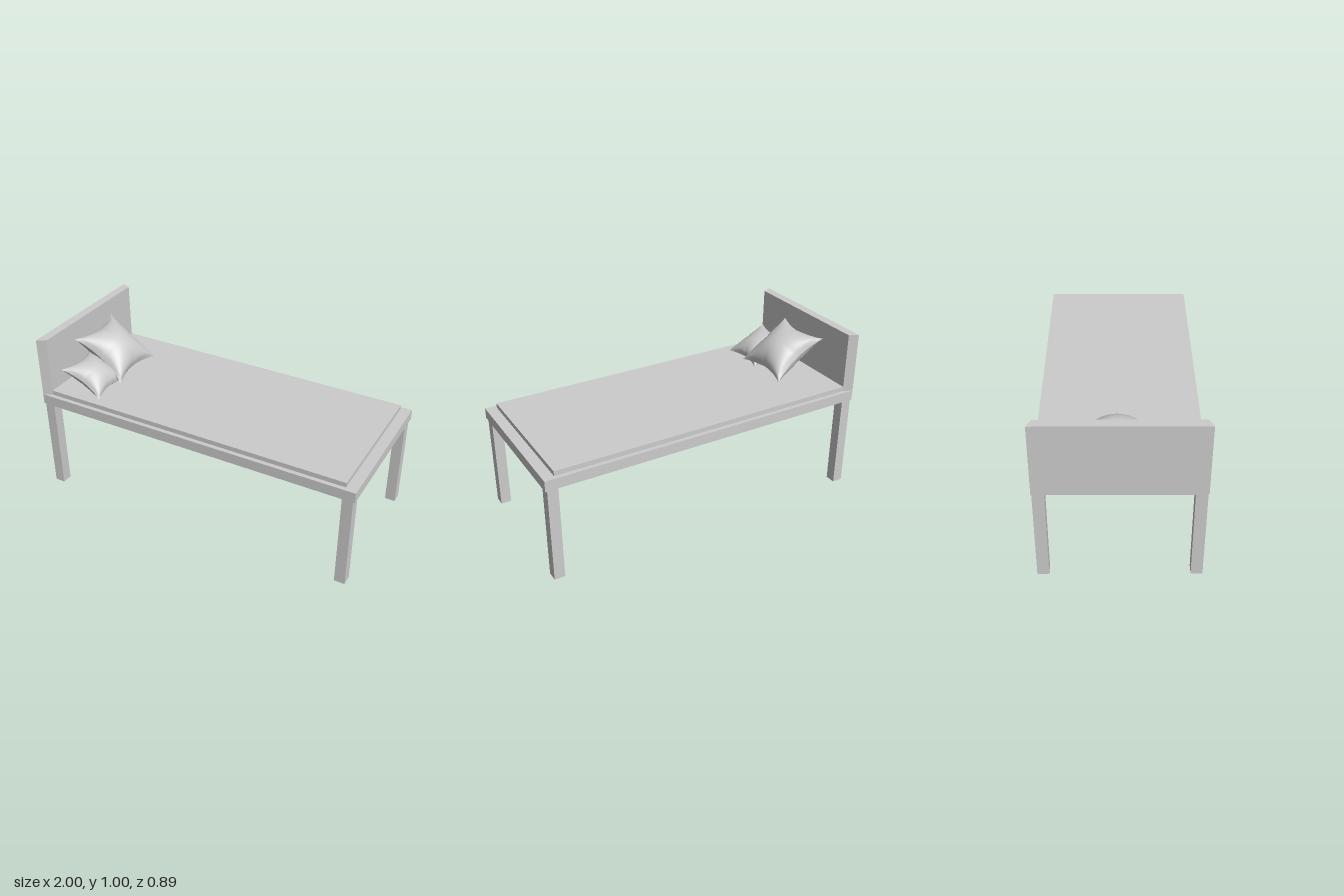
import * as THREE from 'three';
import { mergeGeometries, mergeVertices } from 'three/addons/utils/BufferGeometryUtils.js';

const grey = new THREE.MeshStandardMaterial({ color: 0xcccccc });

export function createModel() {
  const model = new THREE.Group();
  model.name = 'bed';

  const add = (name, geometry) => {
    const mesh = new THREE.Mesh(geometry, grey);
    mesh.name = name;
    model.add(mesh);
    return mesh;
  };

  // Box given by its lower and upper corners
  const box = (name, [x0, y0, z0], [x1, y1, z1]) => {
    const mesh = add(name, new THREE.BoxGeometry(x1 - x0, y1 - y0, z1 - z0));
    mesh.position.set((x0 + x1) / 2, (y0 + y1) / 2, (z0 + z1) / 2);
    return mesh;
  };

  box('frame', [-1, 0.573, -0.447], [1, 0.635, 0.447]);
  box('mattress', [-0.945, 0.635, -0.422], [0.937, 0.663, 0.422]);

  // Four square legs
  for (const [end, x] of [['head', -0.99], ['foot', 0.927]])
    for (const [side, z] of [['Left', 0.38], ['Right', -0.444]])
      box(`${end}Leg${side}`, [x, 0, z], [x + 0.062, 0.573, z + 0.064]);

  // Headboard with ends tapering in towards the mattress
  const plan = new THREE.Shape([[-1, -0.447], [-0.945, -0.422], [-0.945, 0.422], [-1, 0.447]]
    .map(([x, z]) => new THREE.Vector2(x, -z)));
  const board = new THREE.ExtrudeGeometry(plan, { depth: 0.365, bevelEnabled: false });
  add('headboard', board.rotateX(-Math.PI / 2).translate(0, 0.635, 0));

  // Cushions leaning on the headboard
  const cushions = [
    ['largeCushion', 0.387, 0.1, [-0.78, 0.79, -0.014], 0.6],
    ['smallCushion', 0.295, 0.07, [-0.775, 0.727, 0.222], 0.46],
  ];
  for (const [name, size, puff, position, tilt] of cushions) {
    const cushion = add(name, cushionGeometry(size, puff));
    cushion.position.set(...position);
    cushion.rotation.z = -tilt;
  }
  return model;
}

// Two puffed sheets joined at a seam, with pulled-in edges and sharp corners
function cushionGeometry(size, puff) {
  const sheets = [1, -1].map((side) => {
    const sheet = new THREE.PlaneGeometry(2, 2, 32, 32).rotateX(-side * Math.PI / 2);
    const p = sheet.attributes.position;
    for (let i = 0; i < p.count; i++) {
      const u = p.getX(i), v = p.getZ(i);
      const a = Math.max(0, 1 - u * u), b = Math.max(0, 1 - v * v);
      // Creases run inward from the middle of each edge
      const crease = u ** 4 * Math.exp(-((v / 0.12) ** 2)) + v ** 4 * Math.exp(-((u / 0.12) ** 2));
      const height = puff * Math.pow(a * b, 0.55) * (1 - 0.15 * crease);
      p.setXYZ(i, u * (1 - 0.2 * b) * size / 2, side * height, v * (1 - 0.2 * a) * size / 2);
    }
    sheet.deleteAttribute('uv');
    sheet.deleteAttribute('normal');
    const smooth = mergeVertices(sheet, 1e-5);
    smooth.computeVertexNormals();
    return smooth;
  });
  return mergeGeometries(sheets);
}
